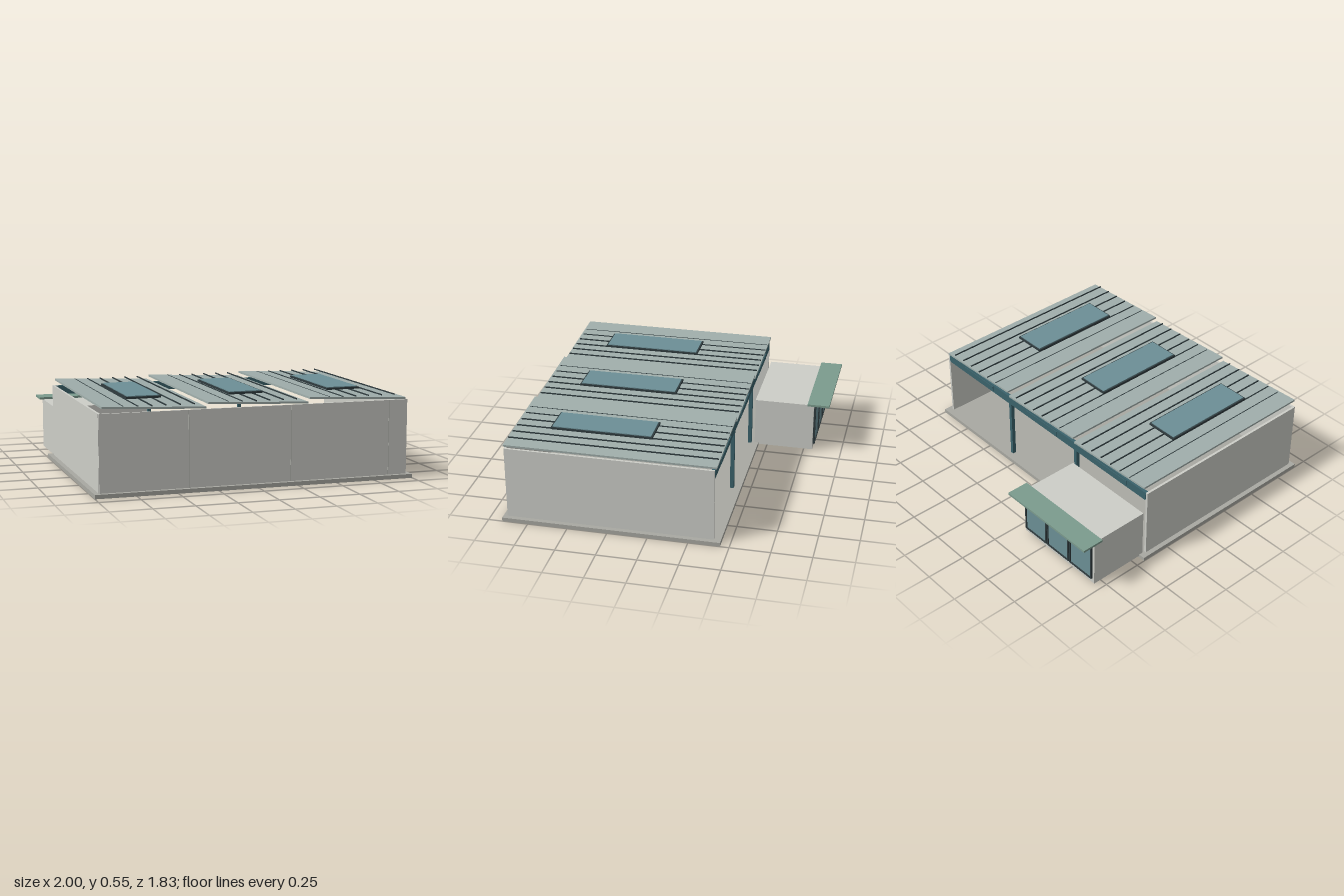
import * as THREE from 'three';

const mat = (color) => new THREE.MeshStandardMaterial({ color });
const WALL = mat(0xcdcec8), SLAB = mat(0xa9a9a2), ROOF = mat(0xa0aeab), DARK = mat(0x2f3b3e);
const GLASS = mat(0x6c8f96), TEAL = mat(0x3b636c), CANOPY = mat(0x7c9c8e), SEAM = mat(0xb4b5af);

// Box given by its low and high limits on each axis
function box(parent, name, material, [x0, x1], [y0, y1], [z0, z1]) {
  const mesh = new THREE.Mesh(new THREE.BoxGeometry(x1 - x0, y1 - y0, z1 - z0), material);
  mesh.position.set((x0 + x1) / 2, (y0 + y1) / 2, (z0 + z1) / 2);
  mesh.name = name;
  parent.add(mesh);
  return mesh;
}

// One sloping roof bay with ribs and a skylight
function roofBay(cx) {
  const bay = new THREE.Group();
  bay.name = 'roofBay';
  bay.position.x = cx;
  const panel = box(bay, 'roofPanel', ROOF, [-0.314, 0.314], [0.505, 0.517], [-0.413, 0.897]);
  panel.rotation.z = -0.043;
  for (let i = -3; i <= 3; i++) {
    const x = -0.012 + i * 0.085;
    box(bay, 'roofRib', DARK, [x - 0.003, x + 0.003], [0.519, 0.526], [-0.41, 0.885]);
  }
  box(bay, 'skylightFrame', DARK, [-0.107, 0.107], [0.533, 0.545], [0.025, 0.66]);
  box(bay, 'skylightGlass', GLASS, [-0.098, 0.098], [0.54, 0.55], [0.034, 0.651]);
  return bay;
}

// Small glazed block behind the main hall
function buildAnnex() {
  const annex = new THREE.Group();
  annex.name = 'annex';
  box(annex, 'annexBody', WALL, [-0.958, -0.322], [0.015, 0.34], [-0.81, -0.42]);
  box(annex, 'canopy', CANOPY, [-0.985, -0.295], [0.343, 0.357], [-0.914, -0.77]);
  for (let i = -1; i <= 1; i++) {
    const cx = -0.64 + i * 0.205;
    box(annex, 'windowGlass', GLASS, [cx - 0.09, cx + 0.09], [0.058, 0.302], [-0.817, -0.808]);
    for (const s of [-1, 1]) {
      const x = cx + s * 0.094, y = 0.18 + s * 0.126;
      box(annex, 'windowJamb', DARK, [x - 0.005, x + 0.005], [0.05, 0.31], [-0.823, -0.808]);
      box(annex, 'windowRail', DARK, [cx - 0.09, cx + 0.09], [y - 0.005, y + 0.005], [-0.823, -0.808]);
    }
  }
  return annex;
}

export function createModel() {
  const model = new THREE.Group();
  model.name = 'workshopBuilding';

  box(model, 'floorSlab', SLAB, [-1, 1], [0, 0.025], [-0.445, 0.912]);

  // Three walls, open at the back
  box(model, 'frontWall', WALL, [-0.968, 0.968], [0.025, 0.488], [0.873, 0.887]);
  box(model, 'rightWall', WALL, [-0.97, -0.955], [0.025, 0.488], [-0.402, 0.88]);
  box(model, 'leftWall', WALL, [0.955, 0.97], [0.025, 0.488], [-0.402, 0.88]);

  for (const cx of [-0.638, 0, 0.638]) {
    model.add(roofBay(cx));
    box(model, 'wallSeam', SEAM, [cx + 0.208, cx + 0.211], [0.025, 0.488], [0.88, 0.8878]);
    box(model, 'beamPlate', TEAL, [cx - 0.15, cx + 0.15], [0.44, 0.475], [-0.408, -0.4]);
  }

  // Beam and posts of the open back
  box(model, 'backBeam', TEAL, [-0.955, 0.955], [0.43, 0.486], [-0.403, -0.382]);
  for (const x of [-0.32, 0.32])
    box(model, 'backPost', TEAL, [x - 0.011, x + 0.011], [0.025, 0.488], [-0.4, -0.376]);

  model.add(buildAnnex());
  return model;
}
